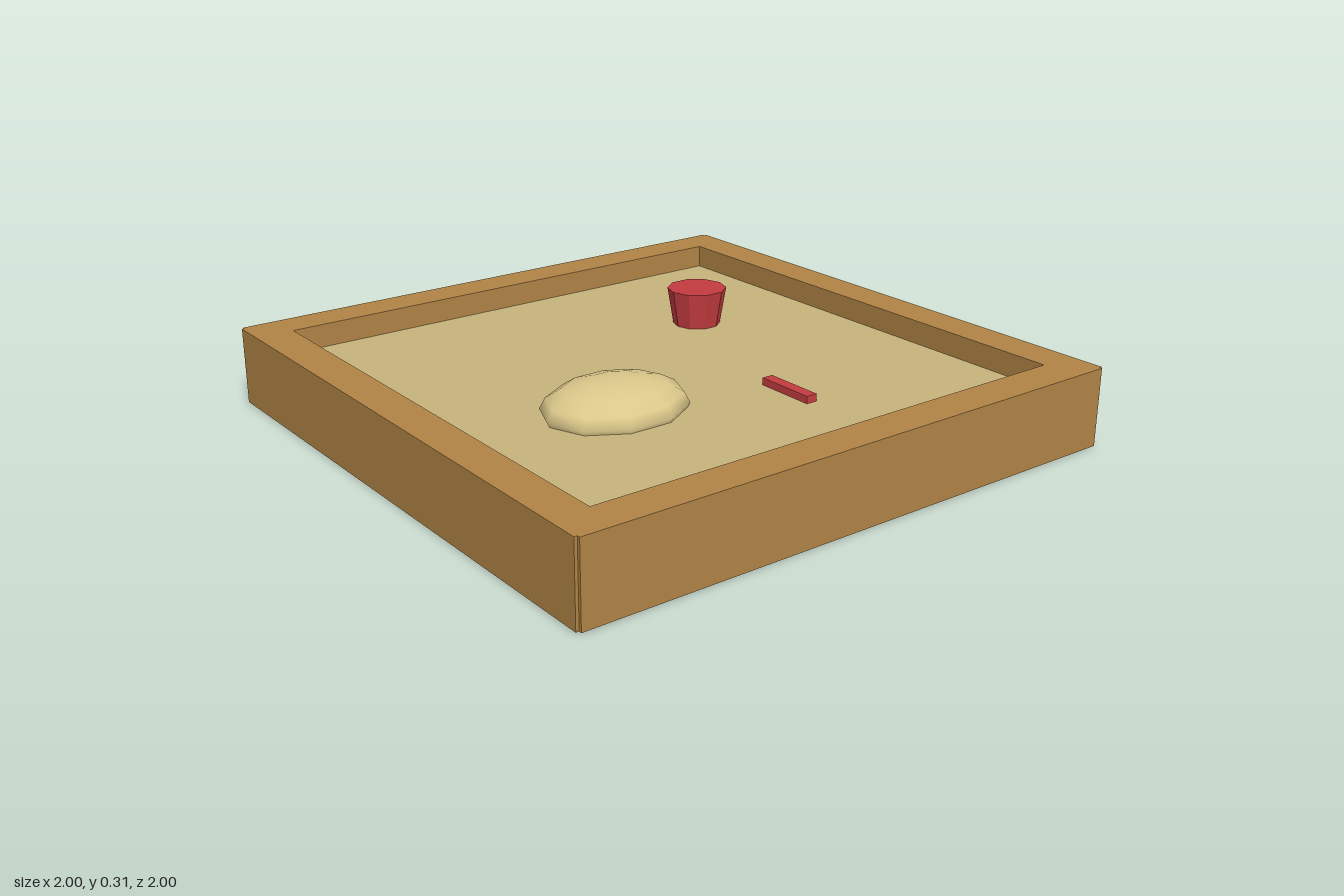
import * as THREE from 'three';

const mat = (color, flatShading = true) => new THREE.MeshStandardMaterial({ color, flatShading });

export function createModel() {
  const group = new THREE.Group();
  const wood = mat(0xb08446);
  const sandMat = mat(0xc7b47c);
  const red = mat(0xc43c40);

  const add = (name, geometry, material, x, y, z) => {
    const mesh = new THREE.Mesh(geometry, material);
    mesh.name = name;
    mesh.position.set(x, y, z);
    group.add(mesh);
    return mesh;
  };

  // Frame of four boards, leaving a tiny notch at each outer corner
  const top = 0.265, base = 0.002, thick = 0.13, length = 1.98;
  const height = top - base, offset = 1 - thick / 2, midY = (top + base) / 2;
  for (const s of [1, -1]) {
    add(s > 0 ? 'frontBoard' : 'backBoard',
      new THREE.BoxGeometry(length, height, thick), wood, 0, midY, s * offset);
    add(s > 0 ? 'leftBoard' : 'rightBoard',
      new THREE.BoxGeometry(thick, height, length), wood, s * offset, midY, 0);
  }

  // Sand bed, its edges tucked into the boards
  const sandTop = 0.185;
  add('sand', new THREE.BoxGeometry(1.79, sandTop, 1.79), sandMat, 0, sandTop / 2, 0);

  // Smooth heap of sand: a squashed sphere half sunk in the bed
  const mound = add('sandMound', new THREE.SphereGeometry(1, 10, 8),
    mat(0xdbc88a, false), -0.315, 0.2, 0.205);
  mound.scale.set(0.247, 0.09, 0.2);

  // Tapered ten-sided bucket
  const bucketTop = 0.315, bucketBottom = 0.18;
  const bucket = add('bucket',
    new THREE.CylinderGeometry(0.104, 0.082, bucketTop - bucketBottom, 10),
    red, 0.415, (bucketTop + bucketBottom) / 2, -0.315);
  bucket.rotation.y = Math.PI / 2;

  // Small spade lying on the sand
  add('spade', new THREE.BoxGeometry(0.04, 0.025, 0.21), red, 0.207, 0.197, 0.415);

  return group;
}
